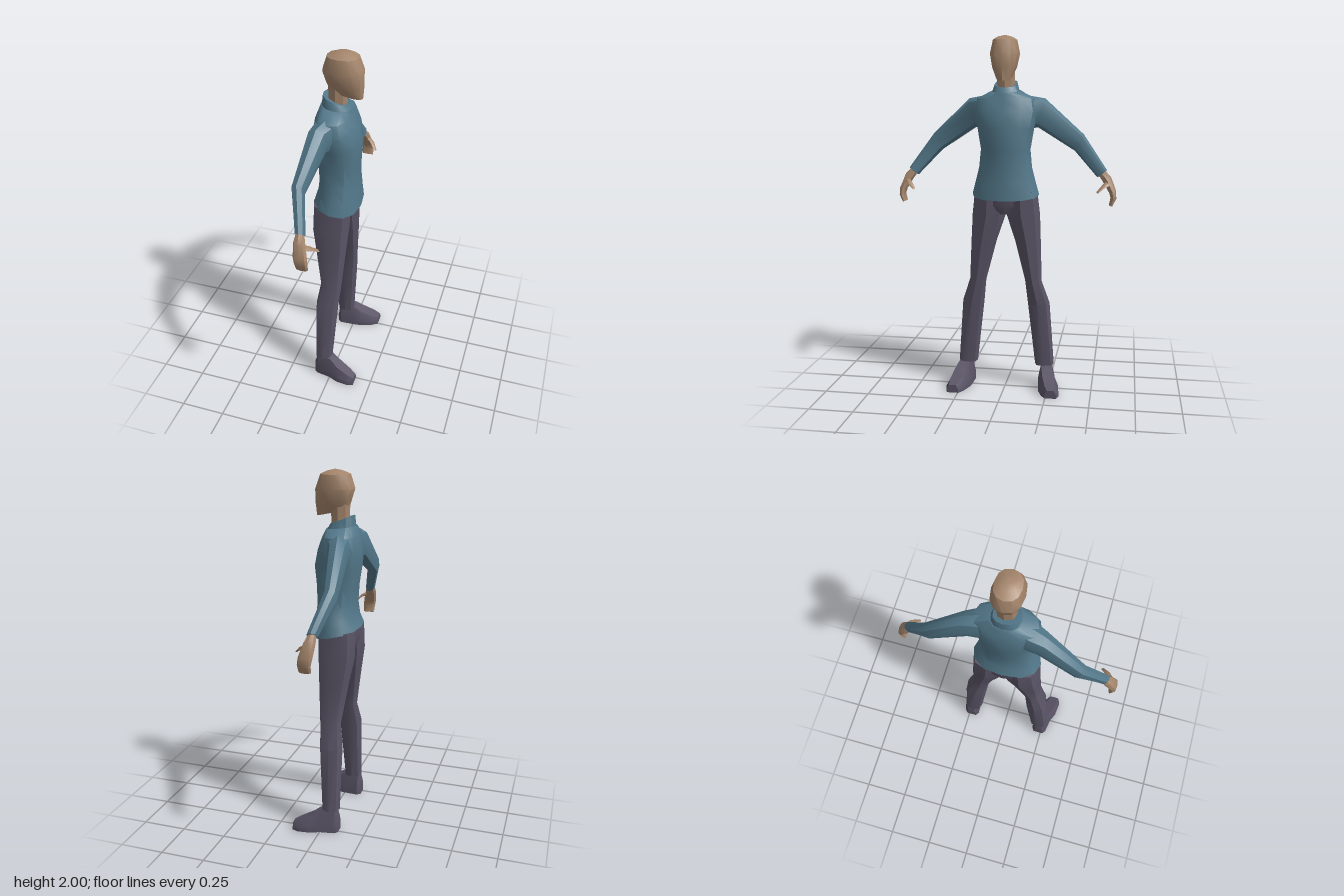
import * as THREE from 'three';
import { toCreasedNormals } from 'three/addons/utils/BufferGeometryUtils.js';

const V = (x, y, z) => new THREE.Vector3(x, y, z);

// Closed loop around a centre, spanned by half-axes u and v; power < 1 squares it off
function ring(c, u, v, n = 8, power = 0.85, phase = 0) {
  const soft = (t) => Math.sign(t) * Math.pow(Math.abs(t), power);
  return Array.from({ length: n }, (_, i) => {
    const a = ((i + phase) / n) * Math.PI * 2;
    return c.clone().addScaledVector(u, soft(Math.cos(a))).addScaledVector(v, soft(Math.sin(a)));
  });
}

// Level loop from back x0 to front x1; tilt lowers the front and lifts the back
const slice = (y, x0, x1, z, w, tilt = 0, n = 12, power = 0.85) =>
  ring(V((x0 + x1) / 2, y, z), V((x1 - x0) / 2, -tilt, 0), V(0, 0, w), n, power);

// Skin over a list of loops with capped ends, always wound outward
function loft(rings, crease = 0.6) {
  const tris = [], n = rings[0].length;
  for (let r = 0; r < rings.length - 1; r++) {
    for (let i = 0; i < n; i++) {
      const j = (i + 1) % n, [a, b, c, d] = [rings[r][i], rings[r][j], rings[r + 1][j], rings[r + 1][i]];
      tris.push([a, b, c], [a, c, d]);
    }
  }
  const cap = (loop, flip) => {
    const m = loop.reduce((s, p) => s.add(p), V(0, 0, 0)).divideScalar(n);
    loop.forEach((p, i) => {
      const q = loop[(i + 1) % n];
      tris.push(flip ? [m, q, p] : [m, p, q]);
    });
  };
  cap(rings[0], true);
  cap(rings[rings.length - 1], false);
  const volume = tris.reduce((s, [a, b, c]) => s + a.dot(b.clone().cross(c)), 0);
  const pts = tris.flatMap(([a, b, c]) => (volume < 0 ? [a, c, b] : [a, b, c]));
  return toCreasedNormals(new THREE.BufferGeometry().setFromPoints(pts), crease);
}

export function createModel() {
  const model = new THREE.Group();
  model.name = 'standingFigure';
  const paint = (name, color) => {
    const m = new THREE.MeshStandardMaterial({ color });
    m.name = name;
    return m;
  };
  const skin = paint('skin', 0xa5866c);
  const shirt = paint('teal cloth', 0x53788a);
  const trousers = paint('dark purple cloth', 0x5a5466);

  const add = (name, rings, material, crease) => {
    const mesh = new THREE.Mesh(loft(rings, crease), material);
    mesh.name = name;
    model.add(mesh);
  };

  // Head and neck
  add('neck', [
    slice(1.7, -0.08, 0.02, 0, 0.05, 0, 8),
    slice(1.84, -0.085, 0.025, 0, 0.052, 0, 8),
  ], skin);
  add('head', [
    slice(1.775, -0.075, 0.102, 0, 0.042, 0.02),
    slice(1.83, -0.09, 0.108, 0, 0.068, 0.005),
    slice(1.9, -0.11, 0.108, 0, 0.083),
    slice(1.975, -0.085, 0.08, 0, 0.067),
    slice(1.992, -0.04, 0.04, 0, 0.04),
    slice(2.0, -0.005, 0.005, 0, 0.005),
  ], skin);

  // Torso with flared hem and sloping shoulders
  add('shirtBody', [
    slice(1.128, -0.152, 0.1, 0, 0.19, 0.026),
    slice(1.2, -0.13, 0.092, 0, 0.17, 0.01),
    slice(1.28, -0.122, 0.087, 0, 0.15),
    slice(1.38, -0.13, 0.09, 0, 0.14),
    slice(1.5, -0.147, 0.1, 0, 0.16),
    slice(1.59, -0.148, 0.078, 0, 0.178),
    slice(1.66, -0.135, 0.052, 0, 0.165),
    slice(1.7, -0.118, 0.045, 0, 0.085, 0.01),
  ], shirt, 0.7);
  add('collar', [
    slice(1.69, -0.115, 0.045, 0, 0.08, 0.01),
    slice(1.742, -0.108, 0.02, 0, 0.064, 0.022),
  ], shirt);

  // Pelvis joining the legs
  add('pelvis', [
    slice(1.02, -0.12, 0.045, 0, 0.05),
    slice(1.07, -0.14, 0.062, 0, 0.15),
    slice(1.15, -0.14, 0.065, 0, 0.17),
  ], trousers);

  for (const [side, s] of [['left', -1], ['right', 1]]) {
    const at = (x, y, z) => V(x, y, z * s);

    // Sleeve from inside the shoulder to the cuff
    add(side + 'Sleeve', [
      ring(at(-0.042, 1.585, 0.08), V(0.085, 0, 0), at(0, 0.1, 0)),
      ring(at(-0.078, 1.58, 0.195), V(0.055, 0, 0), at(0, 0.08, 0.02)),
      ring(at(-0.108, 1.415, 0.405), V(0.035, 0, 0), at(0, 0.046, 0.025)),
      ring(at(-0.055, 1.248, 0.537), V(0.028, 0, 0), at(0, 0.021, 0.026)),
    ], shirt);

    // Hand hanging with curled fingers
    add(side + 'Hand', [
      ring(at(-0.057, 1.26, 0.53), V(0.02, 0, 0), at(0, 0.01, 0.02)),
      ring(at(-0.05, 1.215, 0.566), V(0.032, 0, 0), at(0, 0.014, 0.022)),
      ring(at(-0.038, 1.15, 0.597), V(0.038, 0, 0), at(0, 0.006, 0.019)),
      ring(at(-0.033, 1.115, 0.602), V(0.036, 0, 0), at(0, -0.003, 0.016)),
      ring(at(-0.033, 1.075, 0.588), V(0.033, 0, 0), at(0, -0.004, 0.01)),
    ], skin);
    add(side + 'Thumb', [
      ring(at(-0.035, 1.2, 0.577), V(0.014, -0.018, 0), at(0.008, 0, 0.014), 6),
      ring(at(0.003, 1.185, 0.55), V(0.008, -0.012, 0), at(0.008, 0, 0.01), 6),
      ring(at(0.034, 1.155, 0.517), V(0.004, -0.006, 0), at(0.005, 0, 0.006), 6),
    ], skin);

    // Trouser leg
    const leg = (y, x0, x1, zIn, zOut, tilt = 0) =>
      slice(y, x0, x1, (s * (zIn + zOut)) / 2, (zOut - zIn) / 2, tilt, 8, 0.75);
    add(side + 'Leg', [
      leg(1.15, -0.142, 0.07, 0.002, 0.178),
      leg(1.01, -0.146, 0.063, 0.002, 0.194),
      leg(0.86, -0.12, 0.052, 0.053, 0.2),
      leg(0.63, -0.085, 0.036, 0.113, 0.208),
      leg(0.5, -0.105, 0.026, 0.127, 0.253),
      leg(0.13, -0.1, 0.0, 0.17, 0.28),
    ], trousers);

    // Shoe: upright slices from heel to toe, turned slightly outward
    const shoe = (x, z, w, h) => [
      [-w, 0], [w, 0], [w, h * 0.4], [w * 0.6, h], [-w * 0.6, h], [-w, h * 0.4],
    ].map(([dz, y]) => at(x, y, z + dz));
    add(side + 'Shoe', [
      shoe(-0.1, 0.235, 0.03, 0.08),
      shoe(-0.08, 0.235, 0.045, 0.14),
      shoe(0.0, 0.243, 0.05, 0.132),
      shoe(0.05, 0.257, 0.058, 0.095),
      shoe(0.12, 0.273, 0.05, 0.062),
      shoe(0.155, 0.28, 0.033, 0.045),
    ], trousers);
  }
  return model;
}
